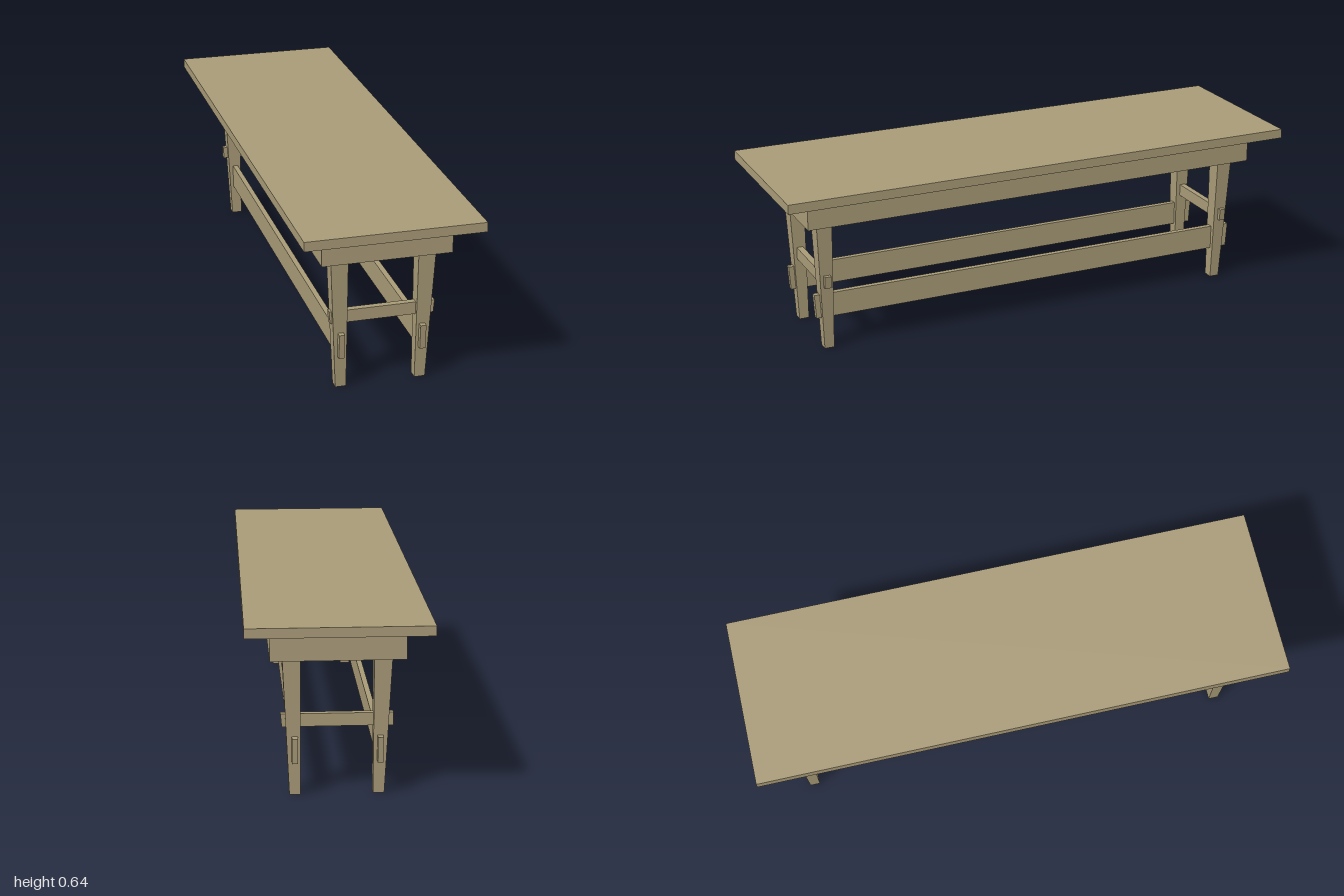
import * as THREE from 'three';

const wood = new THREE.MeshStandardMaterial({ color: 0xa99b78 });
wood.name = 'wood';

// Box between two corners; an optional rule moves the bottom vertices
function block(name, [x0, x1], [y0, y1], [z0, z1], moveBottom) {
  const geo = new THREE.BoxGeometry(x1 - x0, y1 - y0, z1 - z0);
  geo.translate((x0 + x1) / 2, (y0 + y1) / 2, (z0 + z1) / 2);
  if (moveBottom) {
    const p = geo.attributes.position;
    const v = new THREE.Vector3();
    const mid = (y0 + y1) / 2;
    for (let i = 0; i < p.count; i++) {
      v.fromBufferAttribute(p, i);
      if (v.y < mid) moveBottom(v);
      p.setXYZ(i, v.x, v.y, v.z);
    }
    geo.computeVertexNormals();
  }
  const mesh = new THREE.Mesh(geo, wood);
  mesh.name = name;
  return mesh;
}

export function createModel() {
  const table = new THREE.Group();
  table.name = 'trestleTable';

  // Top board and the solid apron beneath it
  table.add(block('tableTop', [-0.32, 0.32], [0.607, 0.642], [-1, 1]));
  table.add(block('apron', [-0.233, 0.233], [0.5, 0.607], [-0.903, 0.903]));

  // Legs: straight inner faces, outer faces tapering towards the foot
  for (const sx of [-1, 1]) {
    for (const sz of [-1, 1]) {
      const xs = [sx * 0.126, sx * 0.189].sort((a, b) => a - b);
      const zs = [sz * 0.799, sz * 0.858].sort((a, b) => a - b);
      const name = (sz > 0 ? 'front' : 'back') + (sx > 0 ? 'Left' : 'Right') + 'Leg';
      table.add(block(name, xs, [0, 0.5], zs, (v) => {
        if (Math.abs(v.x) > 0.15) v.x = sx * 0.165;
        if (Math.abs(v.z) > 0.82) v.z = sz * 0.836;
      }));
    }
  }

  // Long stretchers, with slanted ends passing through the legs
  for (const [name, xs] of [['leftLongStretcher', [0.136, 0.157]], ['rightLongStretcher', [-0.159, -0.139]]]) {
    table.add(block(name, xs, [0.122, 0.214], [-0.874, 0.866], (v) => {
      v.z -= Math.sign(v.z) * 0.006;
    }));
  }

  // Cross stretchers joining each pair of legs
  table.add(block('frontCrossStretcher', [-0.188, 0.195], [0.248, 0.294], [0.811, 0.835], (v) => {
    v.x -= Math.sign(v.x) * 0.004;
  }));
  table.add(block('backCrossStretcher', [-0.195, 0.195], [0.248, 0.294], [-0.838, -0.815], (v) => {
    if (v.x > 0) v.x -= 0.004;
  }));

  return table;
}
